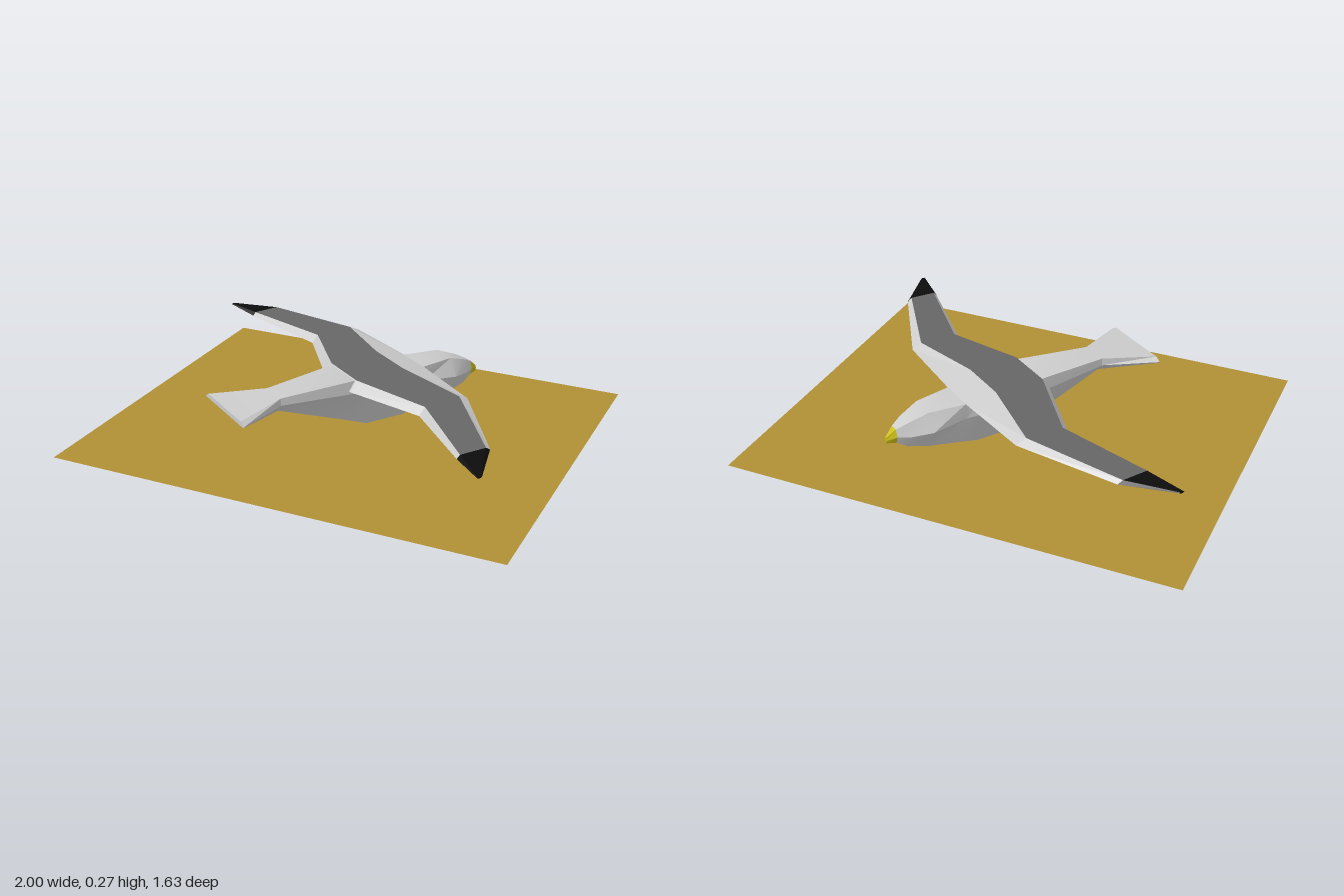
import * as THREE from 'three';
import { toCreasedNormals } from 'three/addons/utils/BufferGeometryUtils.js';

const material = (color) => new THREE.MeshStandardMaterial({ color, flatShading: true });

// Surface through rows of points; columns from..to are used, closed ends are fanned.
function skin(rows, { from = 0, to = rows[0].length, capStart = false, capEnd = false } = {}) {
  const out = [];
  const n = rows[0].length;
  const tri = (a, b, c) => out.push(...a, ...b, ...c);
  for (let r = 0; r < rows.length - 1; r++) {
    for (let c = from; c < to; c++) {
      const a = rows[r][c % n], b = rows[r][(c + 1) % n];
      const d = rows[r + 1][c % n], e = rows[r + 1][(c + 1) % n];
      tri(a, b, d);
      tri(b, e, d);
    }
  }
  const first = rows[0], last = rows[rows.length - 1];
  for (let i = 1; i < n - 1; i++) {
    if (capStart) tri(first[0], first[i + 1], first[i]);
    if (capEnd) tri(last[0], last[i], last[i + 1]);
  }
  const geo = new THREE.BufferGeometry();
  geo.setAttribute('position', new THREE.Float32BufferAttribute(out, 3));
  geo.computeVertexNormals();
  return geo;
}

// Six-sided body section: half width and height of the top, middle and bottom.
const section = (z, wt, yt, wm, ym, wb, yb) => [
  [wt, yt, z], [-wt, yt, z], [-wm, ym, z], [-wb, yb, z], [wb, yb, z], [wm, ym, z],
];

export function createModel() {
  const model = new THREE.Group();
  const bird = new THREE.Group();
  bird.name = 'bird';
  bird.rotation.y = THREE.MathUtils.degToRad(-35);
  model.add(bird);

  const add = (parent, name, geo, mat) => {
    const mesh = new THREE.Mesh(geo, mat);
    mesh.name = name;
    parent.add(mesh);
    return mesh;
  };
  const white = material(0xcccccc);
  const black = material(0x0c0c0c);

  // Ground sheet
  const ground = add(model, 'ground', new THREE.PlaneGeometry(2, 1.63).rotateX(-Math.PI / 2), material(0xb08f35));
  ground.material.side = THREE.DoubleSide;

  // Body from head (-z) to fanned tail (+z)
  const beakBase = section(-0.627, 0.018, 0.178, 0.03, 0.145, 0.018, 0.112);
  const bodyRows = [
    beakBase,
    section(-0.58, 0.035, 0.202, 0.058, 0.145, 0.03, 0.085),
    section(-0.49, 0.055, 0.235, 0.1, 0.16, 0.048, 0.066),
    section(-0.33, 0.08, 0.237, 0.086, 0.17, 0.045, 0.03),
    section(-0.25, 0.08, 0.24, 0.1, 0.175, 0.035, 0.005),
    section(-0.06, 0.1, 0.24, 0.108, 0.19, 0.035, 0.005),
    section(0.036, 0.1, 0.258, 0.106, 0.2, 0.04, 0.045),
    section(0.375, 0.062, 0.237, 0.066, 0.205, 0.035, 0.17),
    section(0.606, 0.157, 0.226, 0.184, 0.21, 0.18, 0.205),
  ];
  const bodyMat = new THREE.MeshStandardMaterial({ color: 0xcccccc });
  add(bird, 'body', toCreasedNormals(skin(bodyRows, { capStart: true, capEnd: true }), 0.45), bodyMat);

  // Beak
  const beakTip = section(-0.668, 0.003, 0.142, 0.006, 0.128, 0.003, 0.115);
  add(bird, 'beak', skin([beakTip, beakBase], { capStart: true }), material(0xc8bc10));

  // Wing sections: leading edge, panel front, panel rear, trailing edge, underside
  const root = [[0.082, 0.237, -0.327], [0.11, 0.27, -0.198], [0.109, 0.262, 0.034], [0.112, 0.215, 0.066], [0.085, 0.185, -0.28]];
  const elbow = [[0.45, 0.235, -0.306], [0.454, 0.257, -0.26], [0.457, 0.25, -0.088], [0.458, 0.215, -0.06], [0.453, 0.207, -0.25]];
  const hand = [[0.879, 0.235, -0.112], [0.882, 0.249, -0.09], [0.877, 0.247, 0.028], [0.876, 0.232, 0.042], [0.878, 0.22, -0.07]];
  const tip = [[1.052, 0.24, 0.05], [1.053, 0.243, 0.054], [1.054, 0.243, 0.07], [1.054, 0.24, 0.073], [1.053, 0.236, 0.06]];
  const mirror = (row) => row.map(([x, y, z]) => [-x, y, z]);
  const span = [hand, elbow, root].map(mirror).concat([root, elbow, hand]);

  const wings = new THREE.Group();
  wings.name = 'wings';
  bird.add(wings);
  add(wings, 'leadingEdge', skin(span, { from: 0, to: 1 }), white);
  add(wings, 'darkPanel', skin(span, { from: 1, to: 2 }), material(0x666666));
  add(wings, 'trailingEdgeAndUnderside', skin(span, { from: 2, to: 5 }), white);
  add(wings, 'leftWingTip', skin([hand, tip], { capEnd: true }), black);
  add(wings, 'rightWingTip', skin([mirror(tip), mirror(hand)], { capStart: true }), black);

  return model;
}
